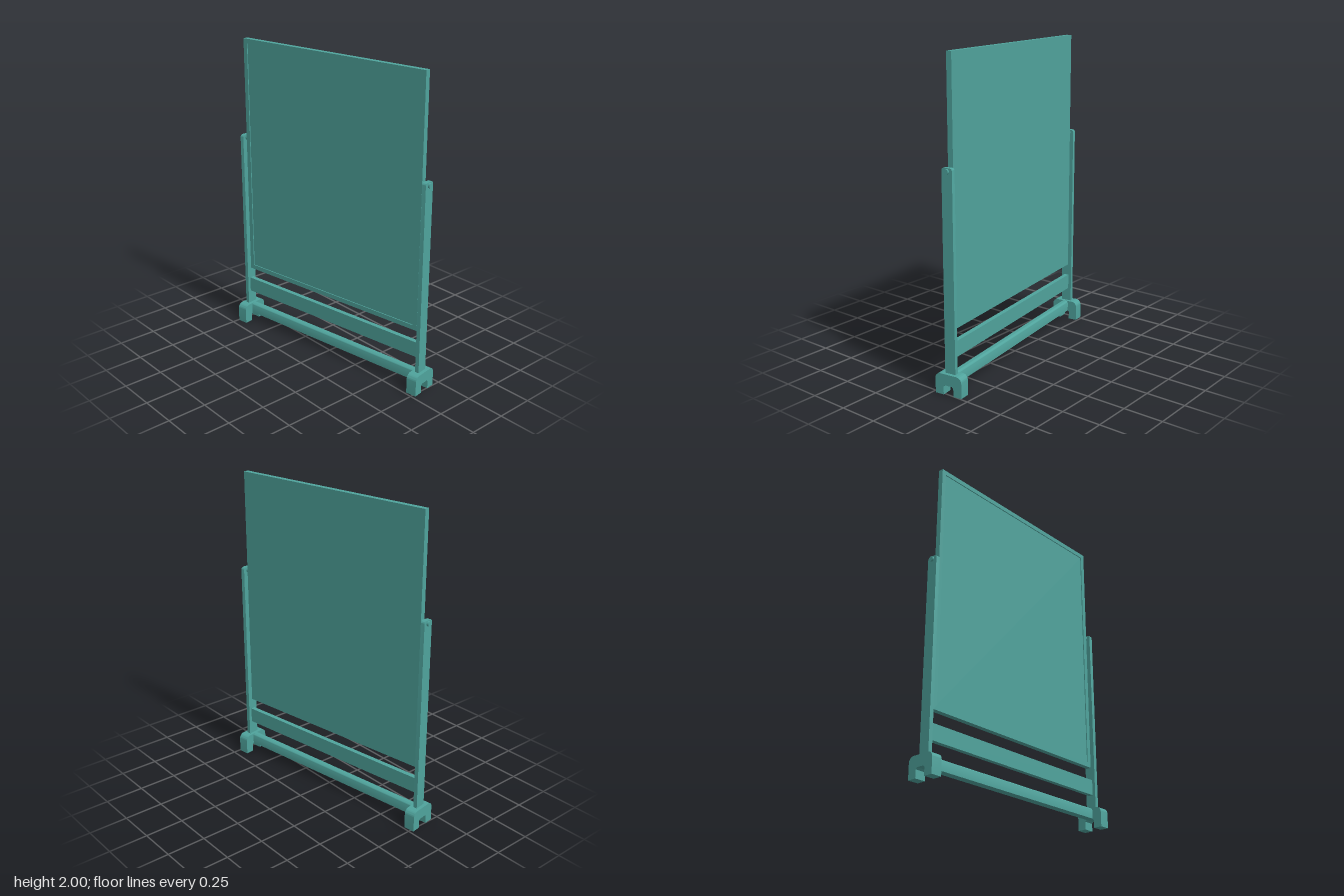
import * as THREE from 'three';
import { toCreasedNormals } from 'three/addons/utils/BufferGeometryUtils.js';

const material = new THREE.MeshStandardMaterial({ color: 0x4fa39c });

function mesh(name, geometry, x = 0, y = 0, z = 0) {
  const m = new THREE.Mesh(geometry, material);
  m.name = name;
  m.position.set(x, y, z);
  return m;
}

// Extrudes a (z, y) profile along x, centred on x = 0.
function extrudeAlongX(shape, length) {
  const g = new THREE.ExtrudeGeometry(shape, { depth: length, bevelEnabled: false, curveSegments: 6 });
  g.translate(0, 0, -length / 2);
  g.rotateY(Math.PI / 2);
  return toCreasedNormals(g, 0.6);
}

// Upright rectangle with rounded top corners.
function roundTop(width, y0, y1, r) {
  const w = width / 2;
  const s = new THREE.Shape();
  s.moveTo(-w, y0);
  s.lineTo(w, y0);
  s.lineTo(w, y1 - r);
  s.absarc(w - r, y1 - r, r, 0, Math.PI / 2);
  s.absarc(-w + r, y1 - r, r, Math.PI / 2, Math.PI);
  s.closePath();
  return s;
}

// Arched foot: rounded on top, notched underneath.
function footShape() {
  const s = new THREE.Shape();
  const w = 0.091, h = 0.13, r = 0.035, n = 0.034, top = 0.06;
  s.moveTo(-w, 0);
  s.lineTo(-n, 0);
  s.lineTo(-n, top - 0.01);
  s.lineTo(-n + 0.01, top);
  s.lineTo(n - 0.01, top);
  s.lineTo(n, top - 0.01);
  s.lineTo(n, 0);
  s.lineTo(w, 0);
  s.lineTo(w, h - r);
  s.absarc(w - r, h - r, r, 0, Math.PI / 2);
  s.absarc(-w + r, h - r, r, Math.PI / 2, Math.PI);
  s.closePath();
  return s;
}

function rectangle(path, w, h) {
  path.moveTo(-w / 2, -h / 2);
  path.lineTo(w / 2, -h / 2);
  path.lineTo(w / 2, h / 2);
  path.lineTo(-w / 2, h / 2);
  path.closePath();
  return path;
}

export function createModel() {
  const group = new THREE.Group();
  group.name = 'standingBoard';

  // Board: backing panel with a slim raised frame on the front
  const W = 1.41, H = 1.6, border = 0.03, lip = 0.006, T = 0.034;
  const board = new THREE.Group();
  board.name = 'board';
  board.position.y = 1.2;
  board.add(mesh('panel', new THREE.BoxGeometry(W, H, T - lip), 0, 0, -lip / 2));
  const frame = rectangle(new THREE.Shape(), W, H);
  frame.holes.push(rectangle(new THREE.Path(), W - 2 * border, H - 2 * border));
  board.add(mesh('frame', new THREE.ExtrudeGeometry(frame, { depth: lip, bevelEnabled: false }), 0, 0, T / 2 - lip));
  group.add(board);

  // Cross rails
  group.add(mesh('middleRail', new THREE.BoxGeometry(1.436, 0.1, 0.03), 0, 0.27, 0));
  group.add(mesh('bottomRail', extrudeAlongX(roundTop(0.05, 0.06, 0.13, 0.018), 1.42)));

  // Foot, post and pivot on each side
  for (const side of [-1, 1]) {
    const name = side > 0 ? 'left' : 'right';
    const x = side * 0.731;
    group.add(mesh(name + 'Foot', extrudeAlongX(footShape(), 0.07), x));
    group.add(mesh(name + 'Post', extrudeAlongX(roundTop(0.071, 0.1, 1.36, 0.016), 0.026), x));
    const pin = new THREE.CylinderGeometry(0.016, 0.016, 0.056, 20);
    pin.rotateZ(Math.PI / 2);
    group.add(mesh(name + 'Pivot', pin, side * 0.728, 1.34, 0));
  }

  // The whole stand is turned slightly
  group.rotation.y = 0.145;
  const root = new THREE.Group();
  root.name = 'model';
  root.add(group);
  return root;
}
